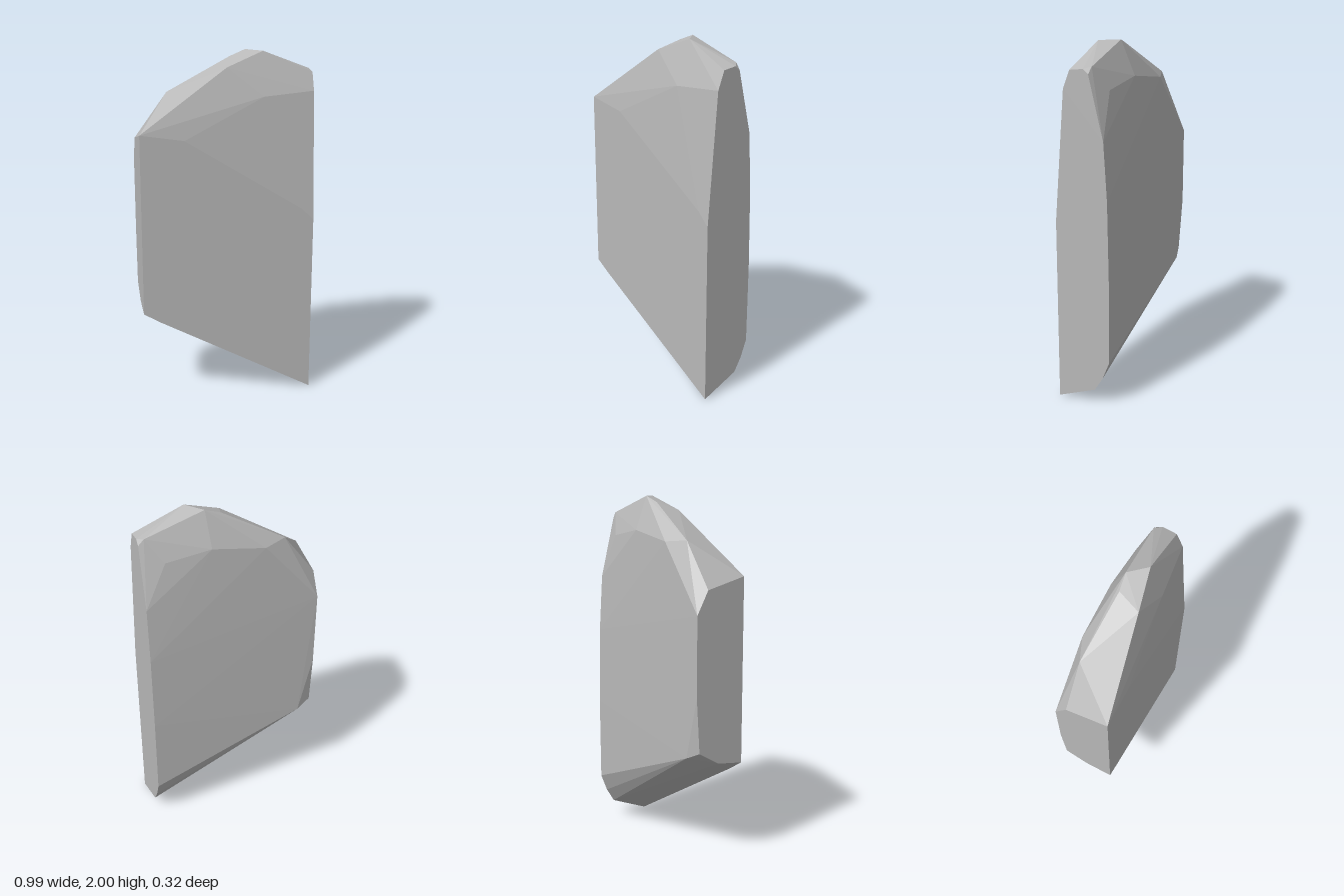
import * as THREE from 'three';
import { ConvexGeometry } from 'three/addons/geometries/ConvexGeometry.js';

const L = -0.495, R = 0.49; // flat cut sides of the slab

// outline of the left and right cut faces, as [z, y]
const rightCut = [
  [0.16, 0], [-0.07, 0.09], [-0.12, 0.17], [-0.16, 0.27], [-0.163, 0.75], [-0.155, 1.2],
  [-0.135, 1.52], [-0.05, 1.865], [-0.02, 1.89], [0.06, 1.88], [0.1, 1.78], [0.16, 1.05],
];
const leftCut = [
  [0.16, 0.545], [0, 0.565], [-0.13, 0.64], [-0.15, 0.95],
  [-0.15, 1.39], [-0.08, 1.52], [0.16, 1.58],
];

// chipped corners between the two cuts, as [x, y, z]
const chips = [
  // crown
  [0.13, 2, -0.05], [0.21, 2, 0.045], [0.46, 1.9, -0.055], [0.04, 1.965, -0.04],
  [0, 1.92, 0.085], [-0.19, 1.79, 0.085], [-0.31, 1.77, -0.085],
  // back shoulder
  [-0.18, 1.76, -0.137], [0.12, 1.81, -0.128], [0.37, 1.77, -0.11],
  // front shoulder
  [-0.25, 1.54, 0.16], [0.2, 1.76, 0.124], [0.42, 1.12, 0.16],
  // lower edge
  [-0.41, 0.6, -0.155], [-0.4, 0.487, 0.16],
];

export function createModel() {
  const group = new THREE.Group();
  group.name = 'stoneSlab';
  const stone = new THREE.MeshStandardMaterial({ color: 0xb8b8b8 });
  stone.name = 'grey stone';
  stone.flatShading = true;

  const points = [
    ...rightCut.map(([z, y]) => new THREE.Vector3(R, y, z)),
    ...leftCut.map(([z, y]) => new THREE.Vector3(L, y, z)),
    ...chips.map((p) => new THREE.Vector3(...p)),
  ];
  const slab = new THREE.Mesh(new ConvexGeometry(points), stone);
  slab.name = 'slab';
  group.add(slab);
  return group;
}
